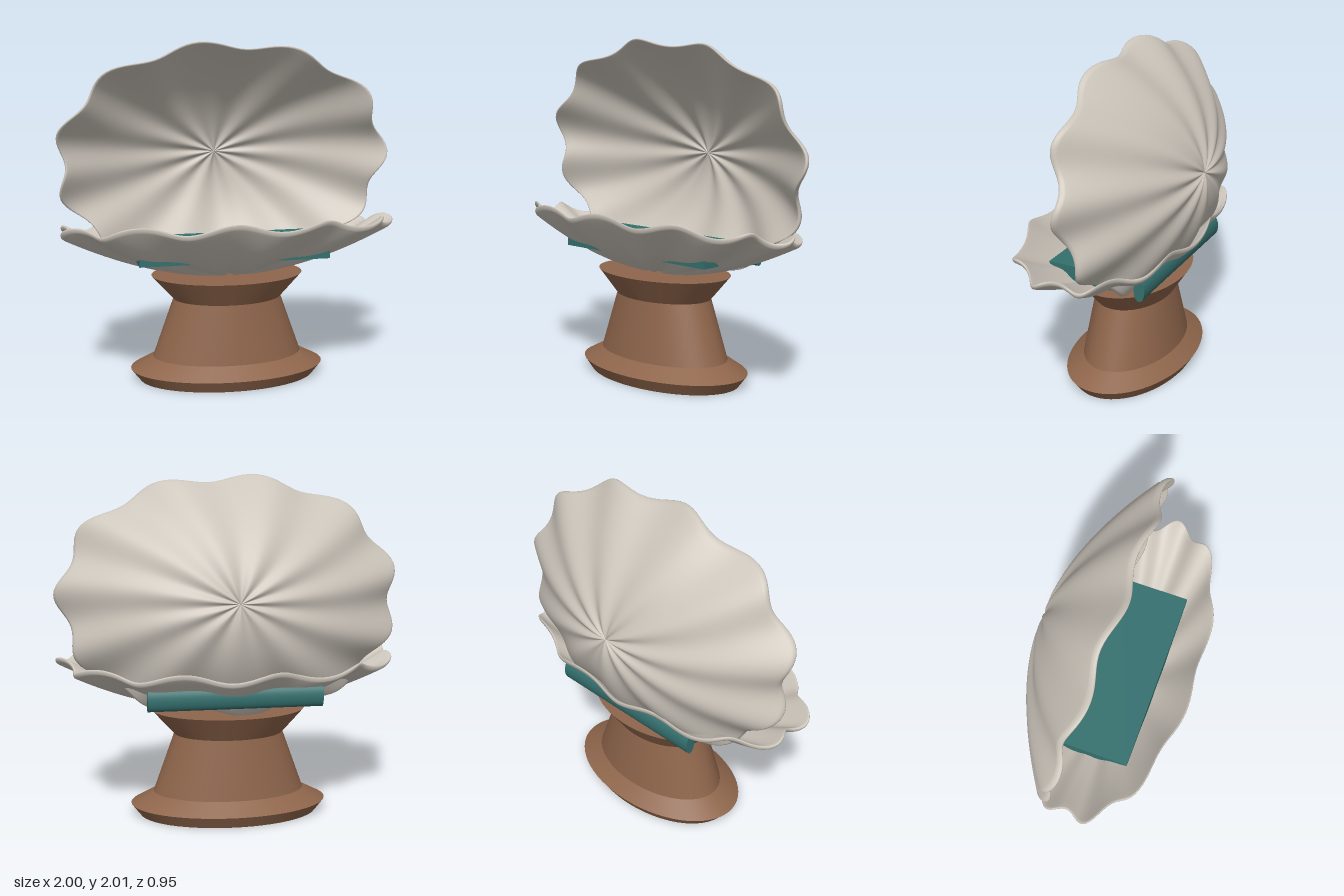
import * as THREE from 'three';

const shellMat = new THREE.MeshStandardMaterial({ color: 0xcbc4ba });
shellMat.name = 'shell cream';
const woodMat = new THREE.MeshStandardMaterial({ color: 0x8e654b });
woodMat.name = 'pedestal brown';
const tealMat = new THREE.MeshStandardMaterial({ color: 0x34706e });
tealMat.name = 'teal';

const LOBES = 11;

function addMesh(parent, name, geometry, material) {
  const mesh = new THREE.Mesh(geometry, material);
  mesh.name = name;
  parent.add(mesh);
  return mesh;
}

// Closed scalloped dish: the section runs outer centre -> rolled lip -> inner centre.
// place(x, v, d) puts a point (across, along, depth below the rim plane) in the model.
function dishGeometry(depth, thickness, place, flip) {
  const half = thickness / 2;
  const section = [];
  const steps = 30, around = 176;
  for (let i = 0; i <= steps; i++) section.push([i / steps, half]);
  for (let i = 1; i < 6; i++) {
    const a = (i / 6) * Math.PI;
    section.push([1 + 0.016 * Math.sin(a), half * Math.cos(a)]);
  }
  for (let i = steps; i >= 0; i--) section.push([i / steps, -half]);

  const positions = [], index = [];
  section.forEach(([t, offset], i) => {
    for (let j = 0; j < around; j++) {
      const th = (j / around) * Math.PI * 2;
      // Scalloped outline, fuller on the diagonals
      const edge = 0.99 + 0.025 * Math.sin(2 * th) ** 2
        + 0.035 * t * t * Math.cos(LOBES * (th - 0.035));
      // Ribs start at a pit in the middle and deepen toward the rim
      const rise = 1 - Math.exp(-12 * t);
      const wave = Math.cos(LOBES * (th - Math.PI / 2) - 0.5);
      const d = depth * (1 - t * t) + offset
        + 0.012 * rise * (1 - t) - (0.009 * rise + 0.016 * t ** 3) * wave;
      positions.push(...place(edge * t * Math.cos(th), edge * t * Math.sin(th), d));
      if (i < section.length - 1) {
        const a = i * around + j, c = i * around + ((j + 1) % around);
        const b = a + around, e = c + around;
        if (flip) index.push(a, b, c, c, b, e);
        else index.push(a, c, b, c, e, b);
      }
    }
  });
  const g = new THREE.BufferGeometry();
  g.setAttribute('position', new THREE.Float32BufferAttribute(positions, 3));
  g.setIndex(index);
  g.computeVertexNormals();
  return g;
}

// Oval pedestal built from bands, keeping a crisp edge between them
function createPedestal() {
  const pedestal = new THREE.Group();
  pedestal.name = 'pedestal';
  const rings = [ // height, half width, half depth
    [0, 0.53, 0.325], [0.07, 0.585, 0.365], [0.14, 0.45, 0.275],
    [0.49, 0.325, 0.2225], [0.635, 0.455, 0.312],
  ];
  const names = ['foot', 'footBevel', 'column', 'flare'];
  for (let i = 0; i < names.length; i++) {
    const [y0, x0, z0] = rings[i], [y1, x1, z1] = rings[i + 1];
    const h = y1 - y0;
    const g = new THREE.CylinderGeometry(x1, x0, h, 64, 1, true);
    const p = g.attributes.position;
    for (let k = 0; k < p.count; k++) {
      p.setZ(k, p.getZ(k) * (p.getY(k) > 0 ? z1 / x1 : z0 / x0));
    }
    g.computeVertexNormals();
    g.translate(0, (y0 + y1) / 2, 0);
    addMesh(pedestal, names[i], g, woodMat);
  }
  const cap = (name, [y, x, z], tilt) => {
    const mesh = addMesh(pedestal, name, new THREE.CircleGeometry(1, 64), woodMat);
    mesh.rotation.x = tilt;
    mesh.scale.set(x, z, 1);
    mesh.position.y = y;
  };
  cap('base', rings[0], Math.PI / 2);
  cap('top', rings[4], -Math.PI / 2);
  pedestal.position.z = -0.025;
  return pedestal;
}

export function createModel() {
  const model = new THREE.Group();
  model.name = 'openShellOnPedestal';
  model.add(createPedestal());

  // Upper dish stands upright, leaning a little forward
  addMesh(model, 'upperShell', dishGeometry(0.345, 0.036,
    (x, v, d) => [0.97 * x, 1.315 + 0.67 * v, -0.09 + 0.11 * v - d], false), shellMat);

  // Lower dish lies open on the pedestal, its front rim slightly raised
  addMesh(model, 'lowerShell', dishGeometry(0.262, 0.03,
    (x, v, d) => [0.97 * x, 0.925 + 0.055 * v - d, 0.03 + 0.43 * v], true), shellMat);

  // Flat cushion inside the lower dish
  addMesh(model, 'cushion', new THREE.BoxGeometry(1.12, 0.09, 0.435), tealMat)
    .position.set(0, 0.8, 0.0225);

  // Oval hinge bar along the back
  const hinge = addMesh(model, 'hingeBar',
    new THREE.CylinderGeometry(1, 1, 1, 32).rotateZ(Math.PI / 2), tealMat);
  hinge.scale.set(1.01, 0.063, 0.033);
  hinge.position.set(0, 0.755, -0.302);

  return model;
}
